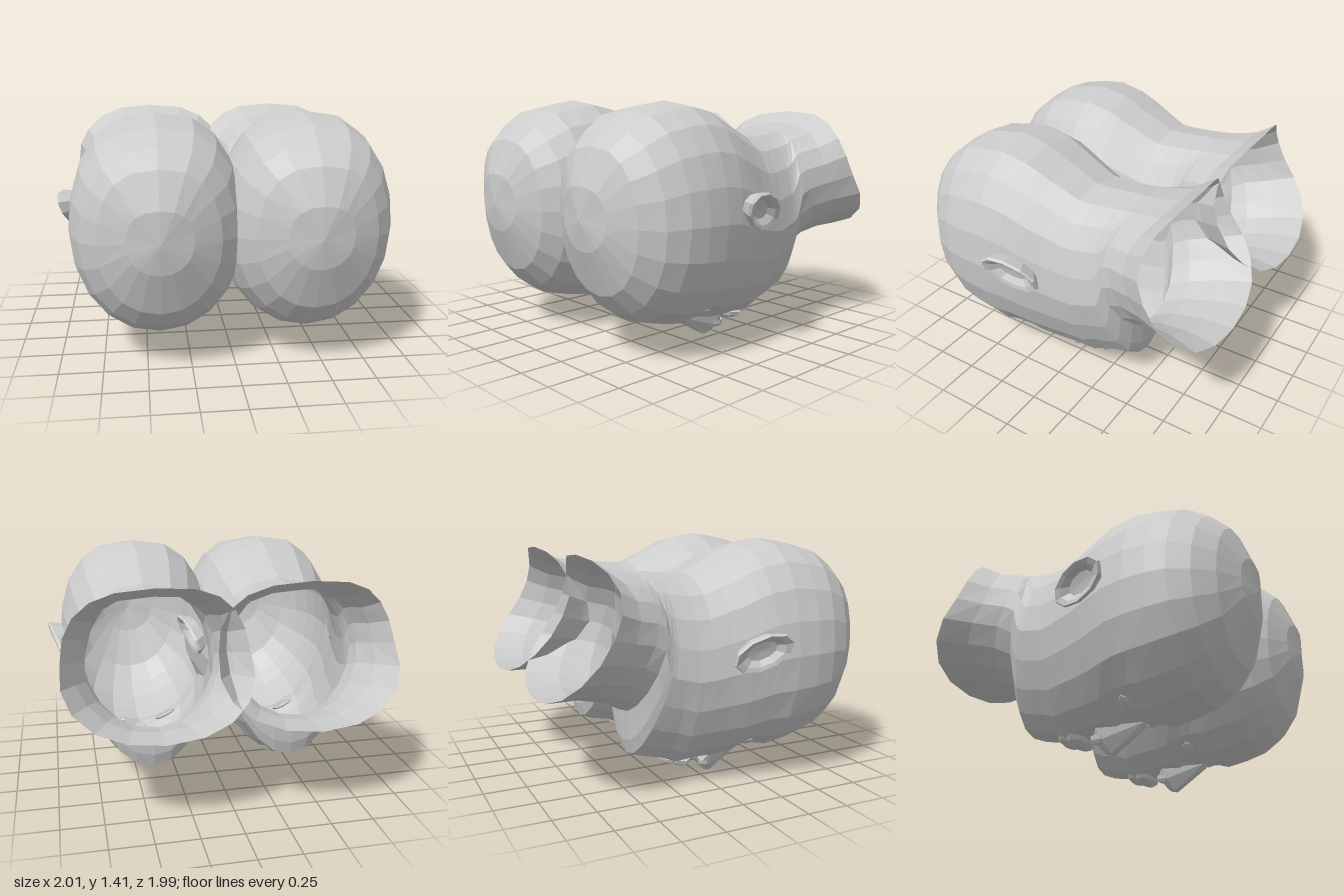
import * as THREE from 'three';
import { ConvexGeometry } from 'three/addons/geometries/ConvexGeometry.js';

const SIDES = 20;
const material = new THREE.MeshStandardMaterial({
  color: 0xcccccc, flatShading: true, side: THREE.DoubleSide,
});

// Cross-sections from crown to neck rim:
// top z, top y, bottom z, bottom y, half width, lower taper, forward shift of the sides
const SECTIONS = [
  [0.985, 0.98, 0.965, 0.63, 0.18, 0, -0.02],
  [0.91, 1.18, 0.87, 0.38, 0.335, 0, -0.015],
  [0.81, 1.275, 0.77, 0.265, 0.43, 0, -0.02],
  [0.68, 1.36, 0.66, 0.195, 0.48, 0, -0.02],
  [0.54, 1.39, 0.53, 0.16, 0.498, 0, 0],
  [0.4, 1.41, 0.4, 0.135, 0.5, 0, 0],
  [0.24, 1.38, 0.32, 0.14, 0.488, 0.03, 0],
  [0.16, 1.345, 0.24, 0.13, 0.475, 0.05, 0],
  [0.08, 1.305, 0.15, 0.115, 0.458, 0.08, 0],
  [0, 1.27, 0.05, 0.11, 0.435, 0.1, 0],
  [-0.1, 1.225, -0.07, 0.11, 0.415, 0.13, 0],
  [-0.18, 1.225, -0.17, 0.095, 0.4, 0.17, 0],
  [-0.25, 1.23, -0.25, 0.13, 0.39, 0.2, 0],
  [-0.31, 1.235, -0.36, 0.15, 0.385, 0.22, 0.03],
  [-0.36, 1.24, -0.45, 0.185, 0.385, 0.22, 0.07],
  [-0.41, 1.24, -0.475, 0.27, 0.386, 0.18, 0.09],
  [-0.46, 1.245, -0.49, 0.45, 0.388, 0.1, 0.1],
  [-0.52, 1.255, -0.62, 0.515, 0.4, 0, 0.13],
  [-0.62, 1.27, -0.8, 0.56, 0.445, -0.1, 0.14],
  [-0.73, 1.34, -0.99, 0.57, 0.515, -0.2, 0.15],
];

// Open head-and-neck shell lofted through the sections
function headShell() {
  const pos = [0, 0.8, 0.995];
  const index = [];
  for (const [zt, yt, zb, yb, w, taper, shift] of SECTIONS) {
    for (let j = 0; j < SIDES; j++) {
      const a = (j / SIDES) * Math.PI * 2;
      const s = Math.sin(a), c = Math.cos(a);
      const t = (1 - s) / 2;
      const power = s > 0 ? 0.74 : 0.95;
      const x = Math.sign(c) * Math.abs(c) ** power * w * (1 - taper * Math.max(0, -s));
      const z = zt + (zb - zt) * t + shift * c * c * (1 + 0.6 * s);
      // Eye sockets pressed into the face
      const d = Math.hypot((Math.abs(x) - 0.17) / 0.11, (z - 0.26) / 0.08);
      const socket = s < 0 ? 0.04 * Math.exp(-d * d) : 0;
      pos.push(x, yt + (yb - yt) * t + socket, z);
    }
  }
  for (let j = 0; j < SIDES; j++) {
    const k = (j + 1) % SIDES;
    index.push(0, 1 + j, 1 + k);
    for (let i = 0; i < SECTIONS.length - 1; i++) {
      const a = 1 + i * SIDES, b = a + SIDES;
      index.push(a + j, b + j, b + k, a + j, b + k, a + k);
    }
  }
  const g = new THREE.BufferGeometry();
  g.setAttribute('position', new THREE.Float32BufferAttribute(pos, 3));
  g.setIndex(index);
  g.computeVertexNormals();
  return g;
}

// Shallow cupped oval ear, its hollow facing +x and its upper end flared outward
function earGeometry() {
  const profile = [[0.75, -0.04], [1, 0.02], [0.95, 0.035], [0.75, 0.025], [0.5, -0.005], [0, -0.01]]
    .map(([r, y]) => new THREE.Vector2(r, y));
  const g = new THREE.LatheGeometry(profile, 10);
  g.scale(0.105, 1, 0.18);
  g.rotateZ(-Math.PI / 2);
  g.rotateY(0.15);
  g.rotateX(-0.42);
  g.rotateZ(-0.25);
  return g;
}

// Wedge nose: bridge, tip and wings
function noseGeometry() {
  const pts = [[0, 0.13, 0.31], [0, 0.08, 0.2], [0, 0.03, 0.13], [0, 0.15, -0.03]];
  for (const s of [-1, 1]) {
    pts.push([0.03 * s, 0.15, 0.3], [0.025 * s, 0.002, 0.09], [0.03 * s, 0.012, 0.05],
      [0.085 * s, 0.07, 0.06], [0.08 * s, 0.08, 0.005], [0.11 * s, 0.14, 0.04]);
  }
  return new ConvexGeometry(pts.map((p) => new THREE.Vector3(...p)));
}

function addPart(parent, name, geometry, x = 0, y = 0, z = 0) {
  const m = new THREE.Mesh(geometry, material);
  m.name = name;
  m.position.set(x, y, z);
  parent.add(m);
  return m;
}

// Downward-facing half ellipsoid
function mound(rx, ry, rz) {
  return new THREE.SphereGeometry(1, 8, 3, 0, Math.PI * 2, Math.PI / 2, Math.PI / 2).scale(rx, ry, rz);
}

function buildHead() {
  const head = new THREE.Group();
  addPart(head, 'headShell', headShell());
  addPart(head, 'nose', noseGeometry());
  addPart(head, 'upperLip', mound(0.13, 0.055, 0.06), 0, 0.12, -0.12);
  addPart(head, 'lowerLip', mound(0.11, 0.045, 0.045), 0, 0.13, -0.195);
  const ear = earGeometry();
  for (const s of [-1, 1]) {
    const side = s > 0 ? 'left' : 'right';
    const e = addPart(head, side + 'Ear', ear, 0.5 * s, 0.825, 0.15);
    e.scale.x = s;
    // Eyelids and nostril wings
    const lid = addPart(head, side + 'Eyelid', mound(0.075, 0.03, 0.035), 0.17 * s, 0.22, 0.265);
    lid.rotation.z = 0.42 * s;
    addPart(head, side + 'NostrilWing', mound(0.035, 0.05, 0.045), 0.07 * s, 0.095, 0.03);
  }
  return head;
}

export function createModel() {
  const model = new THREE.Group();
  model.name = 'pairedHeads';
  for (const s of [-1, 1]) {
    const head = buildHead();
    head.name = s > 0 ? 'leftHead' : 'rightHead';
    head.position.x = 0.425 * s;
    model.add(head);
  }
  return model;
}
